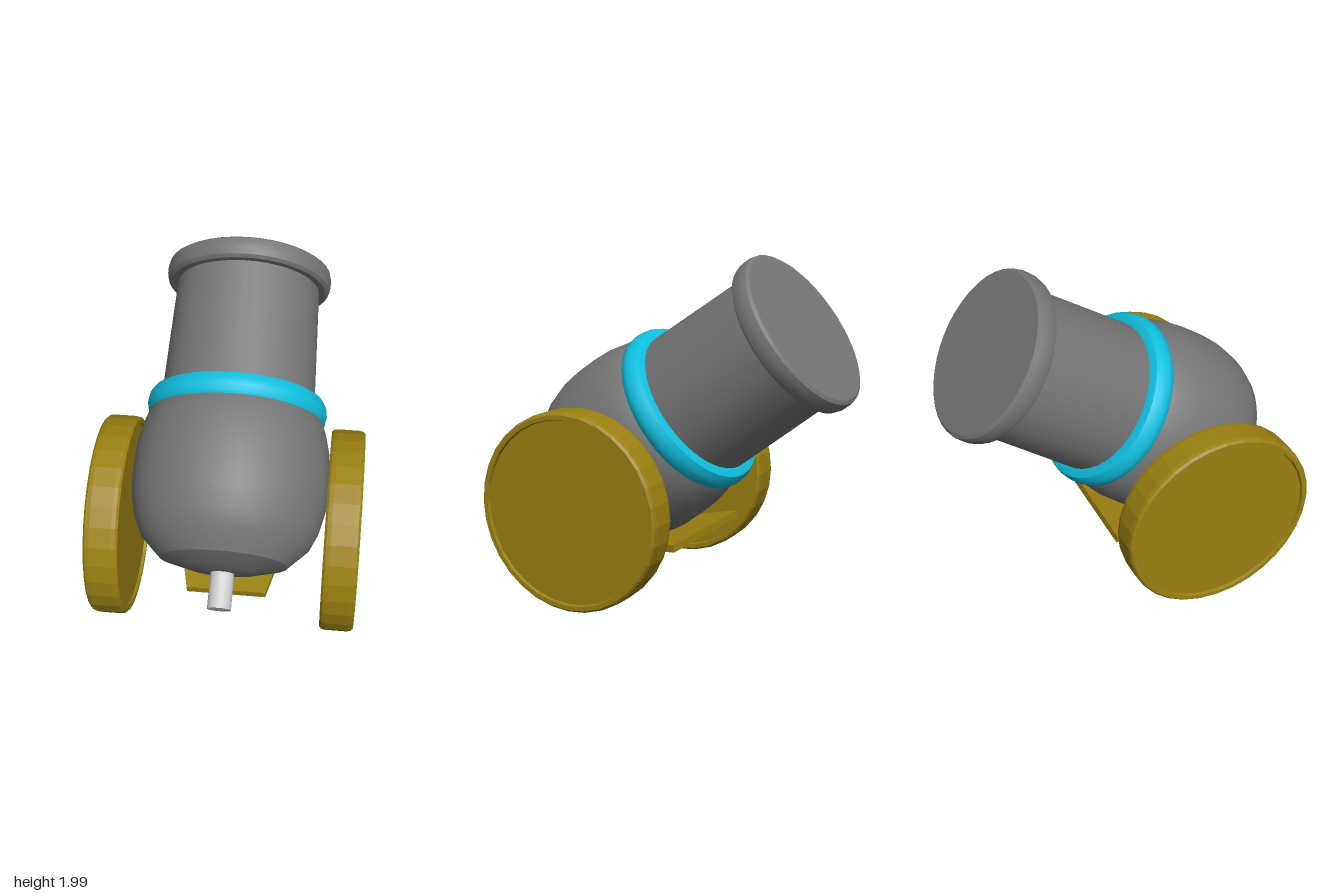
import * as THREE from 'three';
import { toCreasedNormals } from 'three/addons/utils/BufferGeometryUtils.js';

const steel = new THREE.MeshStandardMaterial({ color: 0x767676 });
const pale = new THREE.MeshStandardMaterial({ color: 0xcccccc });
const cyan = new THREE.MeshStandardMaterial({ color: 0x10c0e0 });
const wood = new THREE.MeshStandardMaterial({ color: 0x9a8012 });
const woodFlat = new THREE.MeshStandardMaterial({ color: 0x9a8012, flatShading: true });

// Revolve [radius, height] points about y, keeping sharp edges
function lathe(name, points, material, segments = 40, crease = 0.42) {
  const geo = new THREE.LatheGeometry(points.map(([r, y]) => new THREE.Vector2(r, y)), segments);
  const mesh = new THREE.Mesh(toCreasedNormals(geo, crease), material);
  mesh.name = name;
  return mesh;
}

export function createModel() {
  const model = new THREE.Group();
  model.name = 'cannon';

  // Everything on the tilted gun axis; local +y points to the muzzle
  const gun = new THREE.Group();
  gun.name = 'gun';
  gun.position.set(0, 0.7285, 0.52);
  gun.rotation.x = -0.951;
  model.add(gun);

  // Bulbous breech with a bevelled, slightly domed end
  gun.add(lathe('breech', [
    [0, -0.335], [0.2, -0.312], [0.36, -0.267], [0.475, -0.156], [0.52, -0.06], [0.55, 0.06],
    [0.559, 0.17], [0.557, 0.29], [0.548, 0.4], [0.525, 0.5], [0.49, 0.59], [0.44, 0.66],
  ], steel));

  gun.add(lathe('barrel', [[0.446, 0.6], [0.42, 1.42]], steel));

  // Muzzle rim, closed by a flat face
  gun.add(lathe('muzzleRim', [
    [0.4, 1.385], [0.458, 1.385], [0.478, 1.4], [0.487, 1.43], [0.487, 1.47],
    [0.48, 1.497], [0.462, 1.51], [0, 1.51],
  ], steel));

  // Coloured band between breech and barrel
  gun.add(lathe('band', [
    [0.42, 0.565], [0.495, 0.565], [0.513, 0.585], [0.519, 0.62], [0.513, 0.66],
    [0.495, 0.692], [0.47, 0.7], [0.42, 0.7],
  ], cyan, 40, 0.7));

  // Fuse stub on the breech end
  const fuse = new THREE.Mesh(new THREE.CylinderGeometry(0.067, 0.067, 0.26, 20), pale);
  fuse.name = 'fuse';
  fuse.position.y = -0.4;
  gun.add(fuse);

  // Solid wheels with a raised lip on both faces
  const half = [[0.53, 0.078], [0.535, 0.095], [0.56, 0.095], [0.572, 0.083], [0.576, 0.06]];
  const profile = [
    [0, -0.078], ...half.map(([r, y]) => [r, -y]),
    ...half.slice().reverse(), [0, 0.078],
  ];
  for (const side of [1, -1]) {
    const wheel = lathe(side > 0 ? 'leftWheel' : 'rightWheel', profile, woodFlat, 32);
    wheel.rotation.z = Math.PI / 2;
    wheel.position.set(side * 0.65, 0.579, 0.4);
    model.add(wheel);
  }

  // Sloping base plate, narrow at the front and wide at the back
  const plan = new THREE.Shape([[-0.4, -0.37], [0.4, -0.37], [0.23, 0.37], [-0.23, 0.37]]
    .map(([x, y]) => new THREE.Vector2(x, y)));
  const plateGeo = new THREE.ExtrudeGeometry(plan, { depth: 0.042, bevelEnabled: false });
  plateGeo.rotateX(Math.PI / 2);
  const plate = new THREE.Mesh(plateGeo, wood);
  plate.name = 'basePlate';
  plate.rotation.x = 0.173;
  plate.position.set(0, 0.315, 0.27);
  model.add(plate);

  return model;
}
